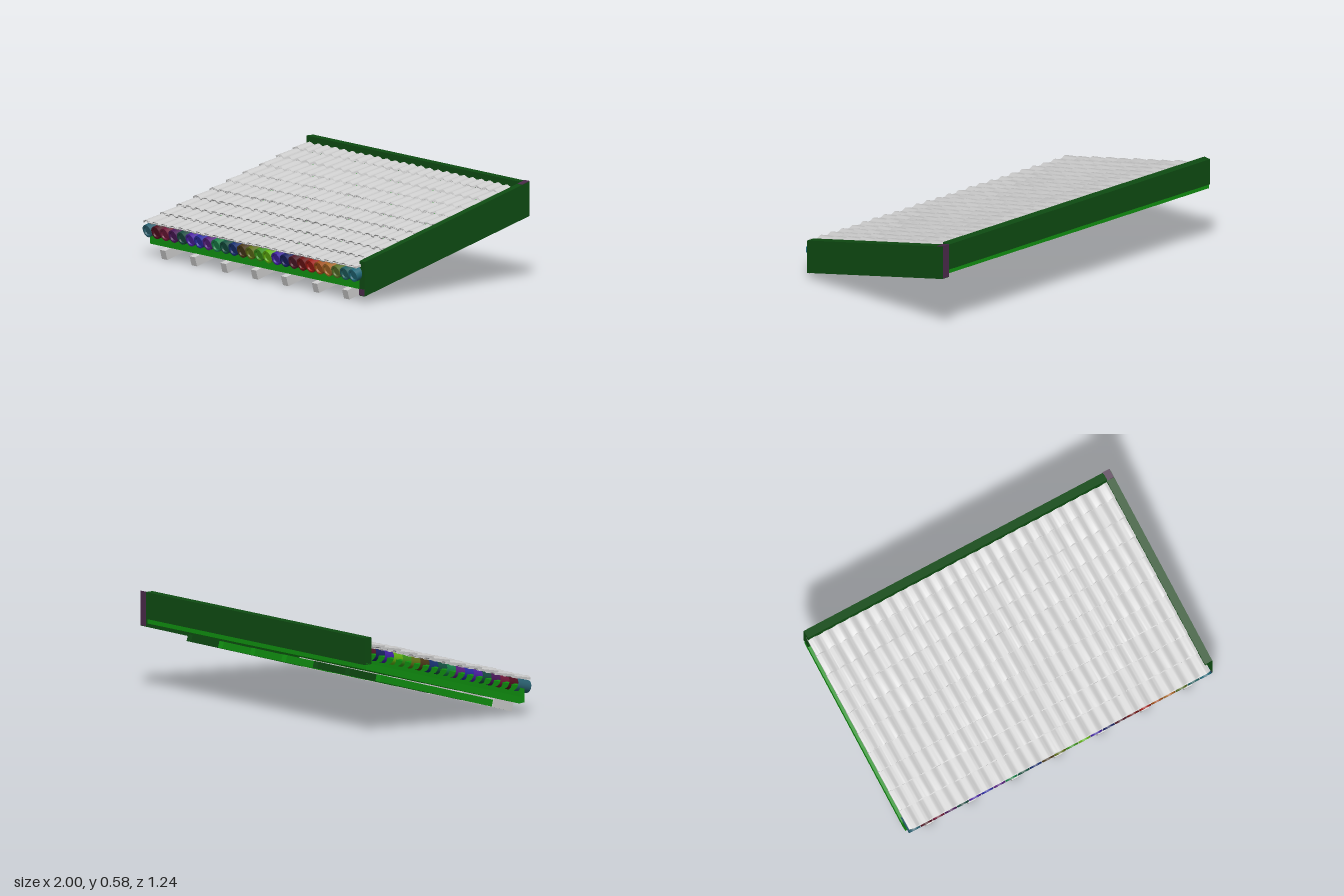
import * as THREE from 'three';
import { toCreasedNormals } from 'three/addons/utils/BufferGeometryUtils.js';

const SLOPE = 0.286, ANGLE = Math.atan(SLOPE);
const PITCH = 0.0793, FIRST = -0.965, BARRELS = 25;
const DARK = 0x0e4b12, GREEN = 0x109010, GREY = 0xcccccc, PURPLE = 0x4a2a4a;

function add(parent, name, geometry, color) {
  const material = new THREE.MeshStandardMaterial({ color });
  const mesh = new THREE.Mesh(geometry, material);
  mesh.name = name;
  parent.add(mesh);
  return mesh;
}

// Solid between x0 and x1 from a side outline of [z, y] points
function sideSolid(points, x0, x1) {
  const shape = new THREE.Shape(points.map(([z, y]) => new THREE.Vector2(-z, y)));
  const g = new THREE.ExtrudeGeometry(shape, { depth: x1 - x0, bevelEnabled: false });
  return g.rotateY(Math.PI / 2).translate(x0, 0, 0);
}

// Rectangular beam running up the slope from its lower front corner
function slopedBeam(z, y, length, thick, x0, x1) {
  const c = Math.cos(ANGLE), s = Math.sin(ANGLE);
  const up = [thick * s, thick * c], back = [-length * c, length * s];
  return sideSolid([
    [z, y], [z + back[0], y + back[1]],
    [z + back[0] + up[0], y + back[1] + up[1]], [z + up[0], y + up[1]],
  ], x0, x1);
}

function box(x0, x1, y0, y1, z0, z1) {
  return new THREE.BoxGeometry(x1 - x0, y1 - y0, z1 - z0)
    .translate((x0 + x1) / 2, (y0 + y1) / 2, (z0 + z1) / 2);
}

// One corrugated course of tiles, its nose at z = 0 and its tail behind
function courseGeometry(length, seed) {
  const steps = 250, x0 = -1, x1 = 0.965, top = [], bottom = [];
  for (let i = 0; i <= steps; i++) {
    const x = x0 + (x1 - x0) * i / steps;
    const wave = 0.005 * Math.cos((x - FIRST) / PITCH * Math.PI * 2)
      + 0.0015 * Math.sin(x * 17 + seed * 2.3);
    top.push(new THREE.Vector2(x, wave));
    bottom.unshift(new THREE.Vector2(x, wave - 0.012));
  }
  const g = new THREE.ExtrudeGeometry(new THREE.Shape([...top, ...bottom]),
    { depth: length, bevelEnabled: false }).translate(0, 0, -length);
  // Ragged edge along the nose
  const p = g.attributes.position;
  for (let i = 0; i < p.count; i++) {
    if (p.getZ(i) > -0.001) p.setZ(i, 0.004 * Math.cos((p.getX(i) - FIRST) / PITCH * Math.PI * 2 + seed * 0.4));
  }
  return toCreasedNormals(g, 0.8);
}

export function createModel() {
  const model = new THREE.Group();

  // Side and back boards with the corner post
  add(model, 'sideBoard', sideSolid([[0.57, 0.035], [-0.62, 0.375], [-0.62, 0.575], [0.57, 0.235]], 0.952, 1), DARK);
  add(model, 'backBoard', box(-1, 0.955, 0.42, 0.575, -0.62, -0.57), DARK);
  add(model, 'cornerPost', sideSolid([[-0.57, 0.365], [-0.622, 0.378], [-0.622, 0.578], [-0.57, 0.563]], 0.953, 0.998), PURPLE);
  add(model, 'sideBoardFoot', box(0.953, 0.998, 0.038, 0.075, 0.55, 0.572), PURPLE);

  // Deck and front fascia
  const deckY = z => 0.055 + (0.57 - z) * SLOPE;
  add(model, 'deck', sideSolid([
    [0.53, deckY(0.53)], [-0.61, deckY(-0.61)],
    [-0.61, deckY(-0.61) + 0.04], [0.53, deckY(0.53) + 0.04],
  ], -1, 0.953), GREEN);
  add(model, 'fascia', box(-1, 0.953, 0.07, 0.17, 0.53, 0.56), GREEN);

  // Rafters with pale tips
  const rafters = new THREE.Group();
  rafters.name = 'rafters';
  [-0.85, -0.575, -0.29, -0.01, 0.27, 0.555, 0.835].forEach((x, i) => {
    const color = [1, 2, 6].includes(i) ? DARK : GREEN;
    add(rafters, 'rafter', slopedBeam(0.43, 0.043, 0.864, 0.04, x - 0.02, x + 0.02), color);
    add(rafters, 'rafterTip', slopedBeam(0.57, 0, 0.15, 0.056, x - 0.025, x + 0.025), GREY);
  });
  model.add(rafters);

  // Coloured barrels under the eave
  const colors = [0x2a6070, 0x501020, 0x701838, 0x4a1858, 0x184a40, 0x4a20a0, 0x2a2aa0, 0x582080, 0x188048,
    0x145040, 0x183070, 0x4a3818, 0x607018, 0x3a9018, 0x60b010, 0x4020a0, 0x182060, 0x501828, 0x701414,
    0xa01c14, 0xa05018, 0xa86828, 0x587028, 0x206060, 0x206878];
  const profile = [[0.038, -0.05], [0.038, 0.05], [0.028, 0.05], [0.026, 0.04], [0, 0.04]]
    .map(([r, y]) => new THREE.Vector2(r, y));
  const barrelGeometry = toCreasedNormals(new THREE.LatheGeometry(profile, 20).rotateX(Math.PI / 2), 0.6);
  const barrels = new THREE.Group();
  barrels.name = 'barrels';
  for (let i = 0; i < BARRELS; i++) {
    const barrel = add(barrels, 'barrel', barrelGeometry, colors[i]);
    barrel.position.set(FIRST + i * PITCH, 0.165, 0.56);
    barrel.rotation.x = ANGLE;
  }
  model.add(barrels);

  // Overlapping tile courses, each nose resting on the course below
  const roof = new THREE.Group();
  roof.name = 'tileCourses';
  for (let i = 0; i < 10; i++) {
    const z = 0.612 - i * 0.1205;
    const course = add(roof, 'tileCourse', courseGeometry(i === 9 ? 0.12 : 0.137, i), GREY);
    course.position.set(0, 0.211 + (0.612 - z) * SLOPE, z);
    course.rotation.x = ANGLE - 0.09;
  }
  model.add(roof);

  return model;
}
